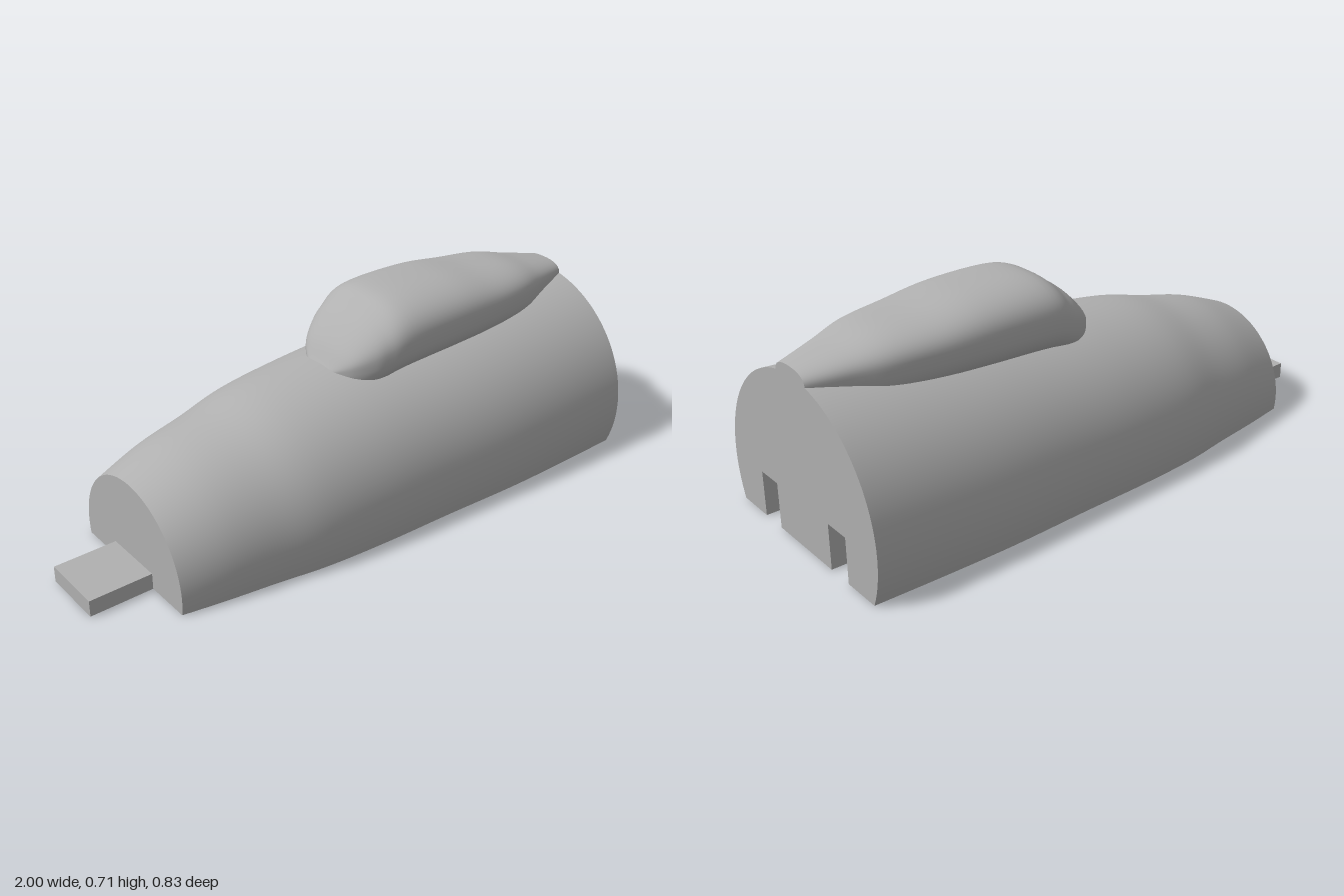
import * as THREE from 'three';

const grey = new THREE.MeshStandardMaterial({ color: 0xb0b0b0 });
grey.name = 'plain grey';

// Hull stations: x, top height, radius of the round section
const HULL = [
  [-0.78, 0.33, 0.28], [-0.62, 0.39, 0.313], [-0.45, 0.43, 0.34], [-0.28, 0.473, 0.37],
  [-0.05, 0.5, 0.388], [0.22, 0.52, 0.398], [0.5, 0.542, 0.411], [0.75, 0.56, 0.415], [1, 0.576, 0.415],
];
// Canopy stations: x, top height, half width, height of the widest line
const CANOPY = [
  [-0.05, 0.485, 0.03, 0.475], [-0.035, 0.505, 0.07, 0.49], [0, 0.56, 0.125, 0.51],
  [0.05, 0.615, 0.165, 0.527], [0.1, 0.655, 0.188, 0.545], [0.19, 0.703, 0.208, 0.57],
  [0.42, 0.705, 0.208, 0.58], [0.6, 0.682, 0.193, 0.58], [0.75, 0.666, 0.168, 0.578],
  [0.87, 0.636, 0.126, 0.572], [1, 0.606, 0.083, 0.565],
];
const SLOT = { x0: 0.67, x1: 1, z: 0.1975, w: 0.095, h: 0.157 };
const SOCKETS = [-0.315, 0.457];
const SOCKET_LENGTH = 0.185;

// Section of the hull: circle cut off at y = 0, returned as [y, z]
function hullPoint([, top, r], v) {
  const cy = top - r;
  const a = -Math.asin(cy / r);
  const angle = a + v * (Math.PI - 2 * a);
  return [cy + r * Math.sin(angle), r * Math.cos(angle)];
}

// Section of the canopy: squarish oval, starting and ending at the bottom
function canopyPoint([, top, w, cy], v) {
  const angle = -Math.PI / 2 + v * Math.PI * 2;
  const c = Math.cos(angle), s = Math.sin(angle);
  const h = s > 0 ? top - cy : Math.min(0.12, w * 0.8);
  const soft = (k) => Math.sign(k) * Math.pow(Math.abs(k), 0.8);
  return [cy + h * soft(s), w * soft(c)];
}

// Smoothly interpolated station values at index t
function station(list, t) {
  const i = Math.min(Math.floor(t), list.length - 2), f = t - i;
  const at = (k) => list[Math.max(0, Math.min(list.length - 1, k))];
  return list[0].map((_, n) => {
    const slope = (k) => (at(k + 1)[n] - at(k - 1)[n]) / 2;
    const a = at(i)[n], b = at(i + 1)[n];
    const f2 = f * f, f3 = f2 * f;
    return (2 * f3 - 3 * f2 + 1) * a + (f3 - 2 * f2 + f) * slope(i)
      + (3 * f2 - 2 * f3) * b + (f3 - f2) * slope(i + 1);
  });
}

// Skin through the sections, running along x
function loft(list, point, steps, around) {
  const rows = (list.length - 1) * steps;
  const pos = [], index = [];
  for (let i = 0; i <= rows; i++) {
    const s = station(list, i / steps);
    for (let j = 0; j <= around; j++) {
      const [y, z] = point(s, j / around);
      pos.push(s[0], y, z);
      if (i < rows && j < around) {
        const a = i * (around + 1) + j, b = a + around + 1;
        index.push(a, b, b + 1, a, b + 1, a + 1);
      }
    }
  }
  const g = new THREE.BufferGeometry();
  g.setAttribute('position', new THREE.Float32BufferAttribute(pos, 3));
  g.setIndex(index);
  g.computeVertexNormals();
  return g;
}

// Inside walls of a box-shaped recess; open lists the box sides left out
function recess(x0, x1, z, width, height, open) {
  const g = new THREE.BoxGeometry(x1 - x0, height, width);
  const old = g.index.array, index = [];
  for (let side = 0; side < 6; side++) {
    if (open.includes(side)) continue;
    for (let k = side * 6; k < side * 6 + 6; k += 3) index.push(old[k], old[k + 2], old[k + 1]);
  }
  g.setIndex(index);
  g.clearGroups();
  g.computeVertexNormals();
  g.translate((x0 + x1) / 2, height / 2, z);
  return g;
}

export function createModel() {
  const model = new THREE.Group();
  model.name = 'fuselageSection';
  const add = (name, geometry) => {
    const mesh = new THREE.Mesh(geometry, grey);
    mesh.name = name;
    model.add(mesh);
    return mesh;
  };
  const V = (x, y) => new THREE.Vector2(x, y);
  const first = HULL[0], last = HULL[HULL.length - 1];
  const outline = (s) => Array.from({ length: 65 }, (_, j) => {
    const [y, z] = hullPoint(s, j / 64);
    return V(z, y);
  });
  const zIn = SLOT.z - SLOT.w / 2, zOut = SLOT.z + SLOT.w / 2;

  // Curved hull skin
  add('hull', loft(HULL, hullPoint, 6, 64));

  // Flat nose end
  add('noseFace', new THREE.ShapeGeometry(new THREE.Shape(outline(first))))
    .geometry.rotateY(-Math.PI / 2).translate(first[0], 0, 0);

  // Flat rear end, notched by the two slots
  const rear = outline(last);
  for (const [a, b] of [[-zOut, -zIn], [zIn, zOut]]) {
    rear.push(V(a, 0), V(a, SLOT.h), V(b, SLOT.h), V(b, 0));
  }
  add('rearFace', new THREE.ShapeGeometry(new THREE.Shape(rear)))
    .geometry.rotateY(Math.PI / 2).translate(last[0], 0, 0);

  // Flat underside with slots and sockets cut out
  const edge = [];
  for (let i = 0; i <= (HULL.length - 1) * 6; i++) {
    const s = station(HULL, i / 6);
    edge.push(V(s[0], hullPoint(s, 0)[1]));
  }
  const under = new THREE.Shape([
    ...edge.map((p) => V(p.x, -p.y)),
    V(1, -zOut), V(SLOT.x0, -zOut), V(SLOT.x0, -zIn), V(1, -zIn),
    V(1, zIn), V(SLOT.x0, zIn), V(SLOT.x0, zOut), V(1, zOut),
    ...edge.reverse(),
  ]);
  for (const x of SOCKETS) {
    const a = x - SOCKET_LENGTH / 2, b = x + SOCKET_LENGTH / 2, h = SLOT.w / 2;
    under.holes.push(new THREE.Path([V(a, -h), V(a, h), V(b, h), V(b, -h)]));
  }
  add('underside', new THREE.ShapeGeometry(under)).geometry.rotateX(Math.PI / 2);

  // Recess walls: slots open at the rear and below, sockets open below
  for (const side of [-1, 1]) {
    add(side > 0 ? 'leftSlot' : 'rightSlot',
      recess(SLOT.x0, SLOT.x1, side * SLOT.z, SLOT.w, SLOT.h, [0, 3]));
  }
  SOCKETS.forEach((x, i) => add(i ? 'rearSocket' : 'frontSocket',
    recess(x - SOCKET_LENGTH / 2, x + SOCKET_LENGTH / 2, 0, SLOT.w, SLOT.h, [3])));

  // Connecting tab at the nose
  add('noseTab', new THREE.BoxGeometry(0.22, 0.057, 0.22)).position.set(-0.89, 0.0285, 0);

  // Canopy bulge and its flat tail end
  add('canopy', loft(CANOPY, canopyPoint, 6, 64));
  const tail = Array.from({ length: 33 }, (_, j) => {
    const [y, z] = canopyPoint(CANOPY[CANOPY.length - 1], 0.25 + j / 64);
    return V(z, y);
  });
  add('canopyTailFace', new THREE.ShapeGeometry(new THREE.Shape(tail)))
    .geometry.rotateY(Math.PI / 2).translate(1, 0, 0);

  return model;
}
